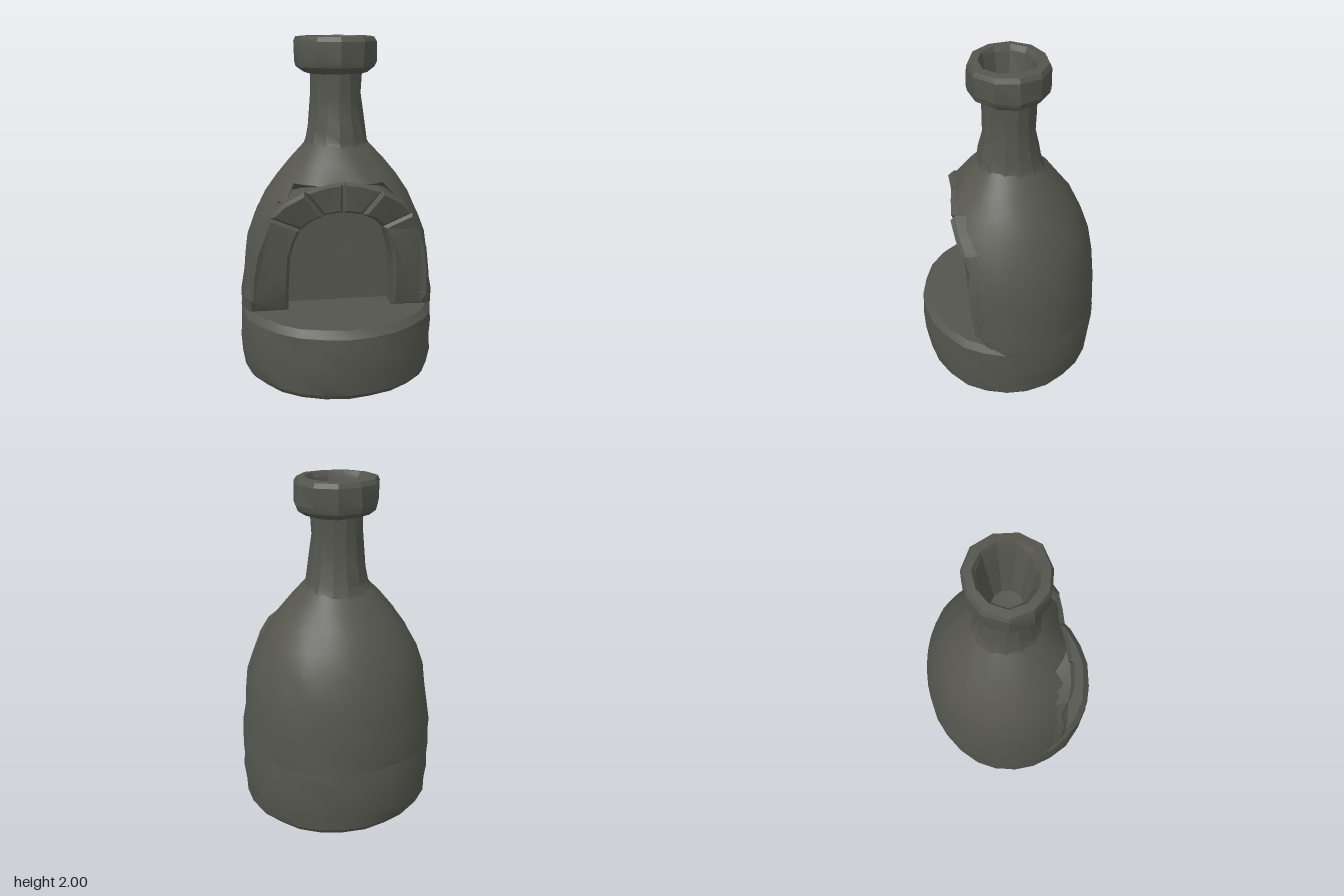
import * as THREE from 'three';
import { toCreasedNormals } from 'three/addons/utils/BufferGeometryUtils.js';

const stone = new THREE.MeshStandardMaterial({ color: 0x55554e, side: THREE.DoubleSide });
stone.name = 'dark stone';

// Piecewise linear lookup through [key, value] pairs
function lerpTable(table, k) {
  if (k <= table[0][0]) return table[0][1];
  for (let i = 1; i < table.length; i++) {
    const [a, va] = table[i - 1], [b, vb] = table[i];
    if (k <= b) return va + (vb - va) * (k - a) / (b - a);
  }
  return table[table.length - 1][1];
}

// Small uneven offset, the same for the same place
const wobble = (x, y, z) => Math.sin(x * 17 + y * 9) * Math.sin(y * 23 + z * 14) * Math.cos(z * 19 - x * 7);

// Move every vertex by a rule, roughen it and give it creased normals
function sculpt(geo, rule, rough = 0.01) {
  const p = geo.attributes.position, v = new THREE.Vector3();
  for (let i = 0; i < p.count; i++) {
    v.fromBufferAttribute(p, i);
    const w = rough * wobble(v.x, v.y, v.z);
    rule(v);
    const r = Math.hypot(v.x, v.z) || 1;
    p.setXYZ(i, v.x * (1 + w / r), v.y, v.z * (1 + w / r));
  }
  return toCreasedNormals(geo, 0.35);
}

const lathe = (pts, seg) => new THREE.LatheGeometry(pts.map(([r, y]) => new THREE.Vector2(r, y)), seg);

// Depth of the arch front by height
const FRONT = [[0.42, 0.2], [0.5, 0.24], [0.7, 0.27], [0.95, 0.285], [1.05, 0.32], [1.12, 0.34], [1.19, 0.34], [1.23, 0.31]];
// Half widths of the arch outline by height
const OUTER = [[0.42, 0.5], [0.5, 0.53], [0.65, 0.525], [0.8, 0.5], [0.92, 0.46], [1.02, 0.41], [1.1, 0.34], [1.17, 0.22], [1.21, 0.1], [1.22, 0]];
const INNER = [[0.42, 0.31], [0.55, 0.31], [0.68, 0.305], [0.78, 0.295], [0.87, 0.27], [0.94, 0.235], [0.99, 0.18], [1.025, 0.11], [1.035, 0.05], [1.04, 0]];

export function createModel() {
  const group = new THREE.Group();
  const add = (name, geo) => {
    const m = new THREE.Mesh(geo, stone);
    m.name = name;
    group.add(m);
    return m;
  };

  // Hollow round base, chamfered only along the front ledge
  add('base', sculpt(lathe([[0.555, 0], [0.575, 0.03], [0.588, 0.12], [0.595, 0.22], [0.59, 0.32], [0.588, 0.38], [0.582, 0.42]], 26), v => {
    if (v.z > 0.15 && v.y > 0.4) { v.x *= 0.96; v.z *= 0.94; }
    v.z *= 0.935;
  }));

  // Hearth floor on top of the base
  const floor = new THREE.CircleGeometry(0.582, 26, -Math.PI / 2).rotateX(-Math.PI / 2).translate(0, 0.42, 0);
  add('hearthFloor', sculpt(floor, v => {
    if (v.z > 0.15) { v.x *= 0.96; v.z *= 0.94; }
    v.z *= 0.935;
  }));

  // Domed body: front cut flat, with the niche pushed in behind the arch
  const bodyPts = [[0.582, 0.42], [0.58, 0.5], [0.567, 0.62], [0.553, 0.74], [0.53, 0.85], [0.485, 0.98], [0.425, 1.1],
    [0.355, 1.2], [0.275, 1.3], [0.21, 1.37], [0.18, 1.4]];
  add('domedBody', sculpt(lathe(bodyPts, 44), v => {
    v.z *= 0.945;
    if (v.y > 1.21) return;
    const inNiche = v.y < 1.15 && Math.abs(v.x) < Math.min(0.43, lerpTable(OUTER, v.y) - 0.06);
    v.z = Math.min(v.z, inNiche ? 0.05 : lerpTable(FRONT, v.y) - 0.02);
  }));

  // Arch stones: slices between the inner and outer outline, mirrored
  const last = OUTER.length - 1;
  const cuts = [[0, 5], [5, 7], [7, last]];
  for (const side of [-1, 1]) {
    cuts.forEach(([a, b], n) => {
      const ring = [];
      for (let i = a; i <= b; i++) ring.push(new THREE.Vector2(side * OUTER[i][1], OUTER[i][0]));
      for (let i = b; i >= a; i--) ring.push(new THREE.Vector2(side * INNER[i][1], INNER[i][0]));
      const geo = new THREE.ExtrudeGeometry(new THREE.Shape(ring), {
        depth: 0.2, steps: 1, bevelEnabled: true, bevelSize: 0.018, bevelOffset: -0.018, bevelThickness: 0.025, bevelSegments: 1,
      });
      const lift = n === 1 ? 0.008 : 0;
      add('archStone', sculpt(geo, v => {
        // Keep the back at the niche wall, bring the front to the arch face
        if (v.z < 0.1) v.z = 0.02;
        else v.z = lerpTable(FRONT, v.y) + (v.z - 0.225) + lift - 0.12 * v.x * v.x * (v.y > 0.9 ? 1 : 0);
      }, 0.006));
    });
  }

  // Chimney neck
  add('chimneyNeck', sculpt(lathe([[0.205, 1.36], [0.182, 1.41], [0.172, 1.48], [0.154, 1.57], [0.15, 1.68], [0.152, 1.82]], 14), v => {
    v.z -= 0.008;
  }, 0.008));

  // Chimney cap with its rim and tapered flue
  add('chimneyCap', sculpt(lathe([[0.15, 1.79], [0.19, 1.8], [0.232, 1.83], [0.24, 1.86], [0.238, 1.97], [0.225, 1.995], [0.18, 2],
    [0.162, 1.97], [0.135, 1.82], [0.095, 1.6], [0, 1.59]], 11), v => {
    v.z = v.z * 0.95 - 0.008;
  }, 0.012));

  return group;
}
